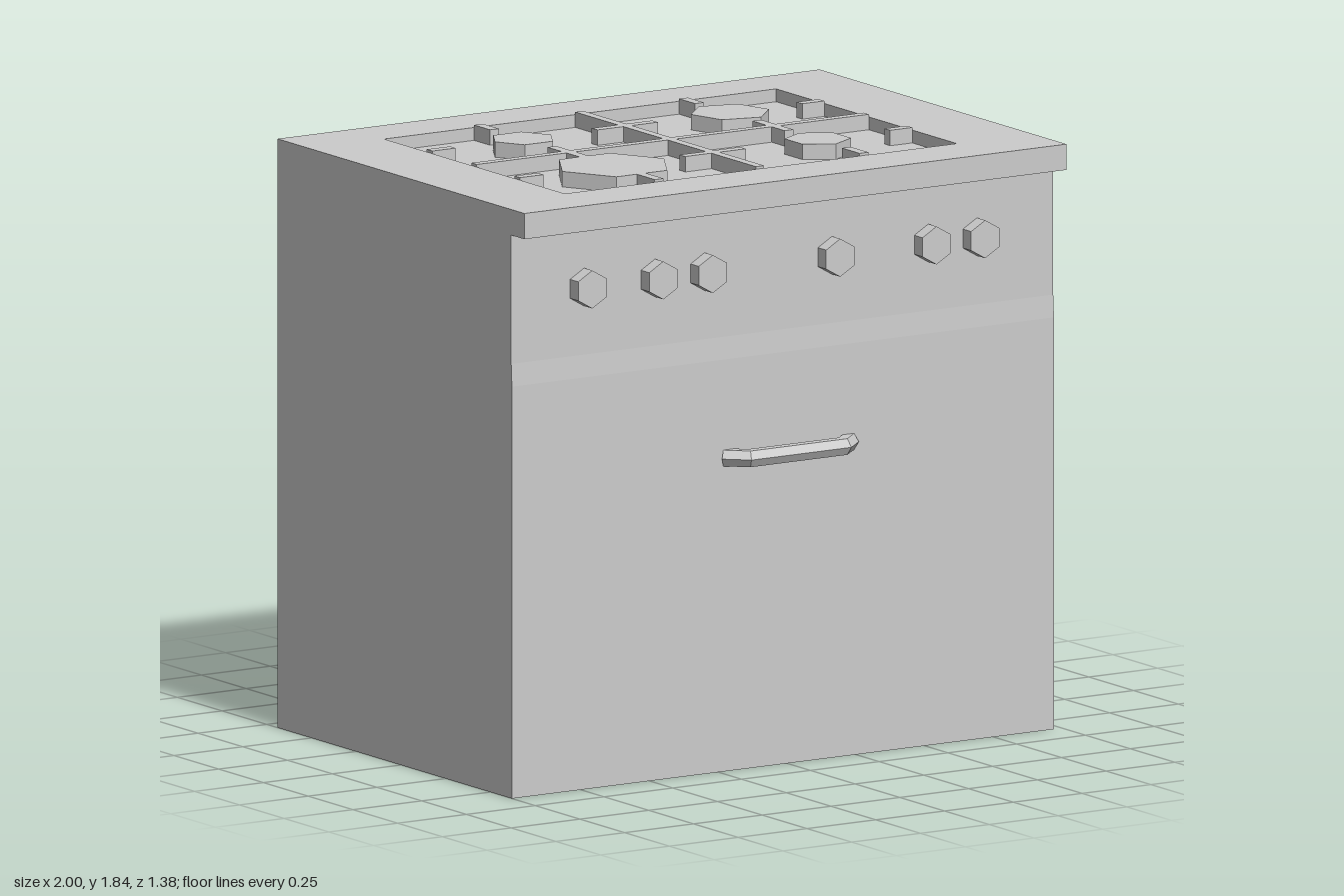
import * as THREE from 'three';

export function createModel() {
  const stove = new THREE.Group();
  const material = new THREE.MeshStandardMaterial({ color: 0xcccccc, flatShading: true });

  const add = (name, geometry, parent = stove) => {
    const mesh = new THREE.Mesh(geometry, material);
    mesh.name = name;
    parent.add(mesh);
    return mesh;
  };
  const group = (name) => {
    const g = new THREE.Group();
    g.name = name;
    stove.add(g);
    return g;
  };
  // Box given by its limits
  const block = (x0, x1, y0, y1, z0, z1) =>
    new THREE.BoxGeometry(x1 - x0, y1 - y0, z1 - z0)
      .translate((x0 + x1) / 2, (y0 + y1) / 2, (z0 + z1) / 2);
  const rect = (path, x0, x1, y0, y1) =>
    path.moveTo(x0, y0).lineTo(x1, y0).lineTo(x1, y1).lineTo(x0, y1).closePath();

  const L = -1, R = 0.97, BACK = -0.69;

  // Body, with its rear lower corner on the +x side pushed slightly outwards
  const body = block(L, R, 0, 1.75, BACK, 0.61);
  const pos = body.attributes.position;
  for (let i = 0; i < pos.count; i++) {
    if (pos.getX(i) > 0.9 && pos.getY(i) < 0.1 && pos.getZ(i) < 0) pos.setX(i, 1);
  }
  body.computeVertexNormals();
  add('body', body);

  // Front: upper control panel, sloped band, oven door
  const profile = new THREE.Shape([
    [-0.61, 0], [-0.61, 1.75], [-0.616, 1.75], [-0.616, 1.35], [-0.62, 1.28], [-0.62, 0],
  ].map(([z, y]) => new THREE.Vector2(z, y)));
  add('frontPanel', new THREE.ExtrudeGeometry(profile, { depth: R - L, bevelEnabled: false })
    .rotateY(Math.PI / 2).translate(L, 0, 0));

  // Worktop with a rectangular opening for the hob
  const X0 = -0.73, X1 = 0.695, Z0 = -0.51, Z1 = 0.5;
  const top = rect(new THREE.Shape(), L, R, -0.69, -BACK);
  top.holes.push(rect(new THREE.Path(), X0, X1, -Z1, -Z0));
  add('worktop', new THREE.ExtrudeGeometry(top, { depth: 0.08, bevelEnabled: false })
    .rotateX(-Math.PI / 2).translate(0, 1.75, 0));

  // Hob: recessed floor, cross dividers and pan supports
  const floor = 1.79, rim = 1.838;
  const hob = group('hob');
  add('hobFloor', block(X0, X1, 1.75, floor, Z0, Z1), hob);
  add('dividerLengthwise', block(-0.035, -0.005, floor, rim, Z0, Z1), hob);
  add('dividerCrosswise', block(X0, X1, floor, rim, -0.022, 0.008), hob);
  for (const z of [-0.256, 0.235]) {
    for (const [a, b] of [[X0, -0.645], [-0.13, 0.09], [0.615, X1]]) {
      add('panSupport', block(a, b, floor, rim, z - 0.016, z + 0.016), hob);
    }
  }
  for (const x of [-0.387, 0.358]) {
    for (const [a, b] of [[Z0, -0.42], [-0.1, 0.08], [0.4, Z1]]) {
      add('panSupport', block(x - 0.016, x + 0.016, floor, rim, a, b), hob);
    }
  }

  // Hexagonal burners: x, z, radius, turn
  const burners = group('burners');
  for (const [x, z, r, turn] of [
    [-0.39, -0.256, 0.102, Math.PI / 6], [0.362, -0.256, 0.126, 0.28],
    [-0.385, 0.24, 0.185, Math.PI / 6], [0.362, 0.235, 0.102, 0],
  ]) {
    add('burner', new THREE.CylinderGeometry(r, r, rim - floor, 6)
      .rotateY(turn).translate(x, (floor + rim) / 2, z), burners);
  }

  // Hexagonal control knobs
  const knobs = group('knobs');
  for (const x of [-0.735, -0.477, -0.297, 0.166, 0.516, 0.693]) {
    add('knob', new THREE.CylinderGeometry(0.059, 0.059, 0.06, 6)
      .rotateX(Math.PI / 2).translate(x, 1.56, 0.632), knobs);
  }

  // Door handle: hexagonal rings swept along a bent path (x, z, outward direction)
  const vertices = [], faces = [], sides = 6;
  const path = [
    [-0.222, 0.612, -0.75, 0.66], [-0.165, 0.664, -0.4, 1],
    [0.175, 0.664, 0.4, 1], [0.232, 0.612, 0.75, 0.66],
  ];
  path.forEach(([x, z, nx, nz], i) => {
    for (let j = 0; j < sides; j++) {
      const a = (j / sides) * Math.PI * 2, c = 0.029 * Math.cos(a);
      vertices.push(x + nx * c, 0.974 + 0.029 * Math.sin(a), z + nz * c);
      if (i === path.length - 1) continue;
      const p = i * sides + j, q = i * sides + (j + 1) % sides;
      faces.push(p, p + sides, q, q, p + sides, q + sides);
    }
  });
  const handle = new THREE.BufferGeometry();
  handle.setAttribute('position', new THREE.Float32BufferAttribute(vertices, 3));
  handle.setIndex(faces);
  handle.computeVertexNormals();
  add('doorHandle', handle);

  return stove;
}
